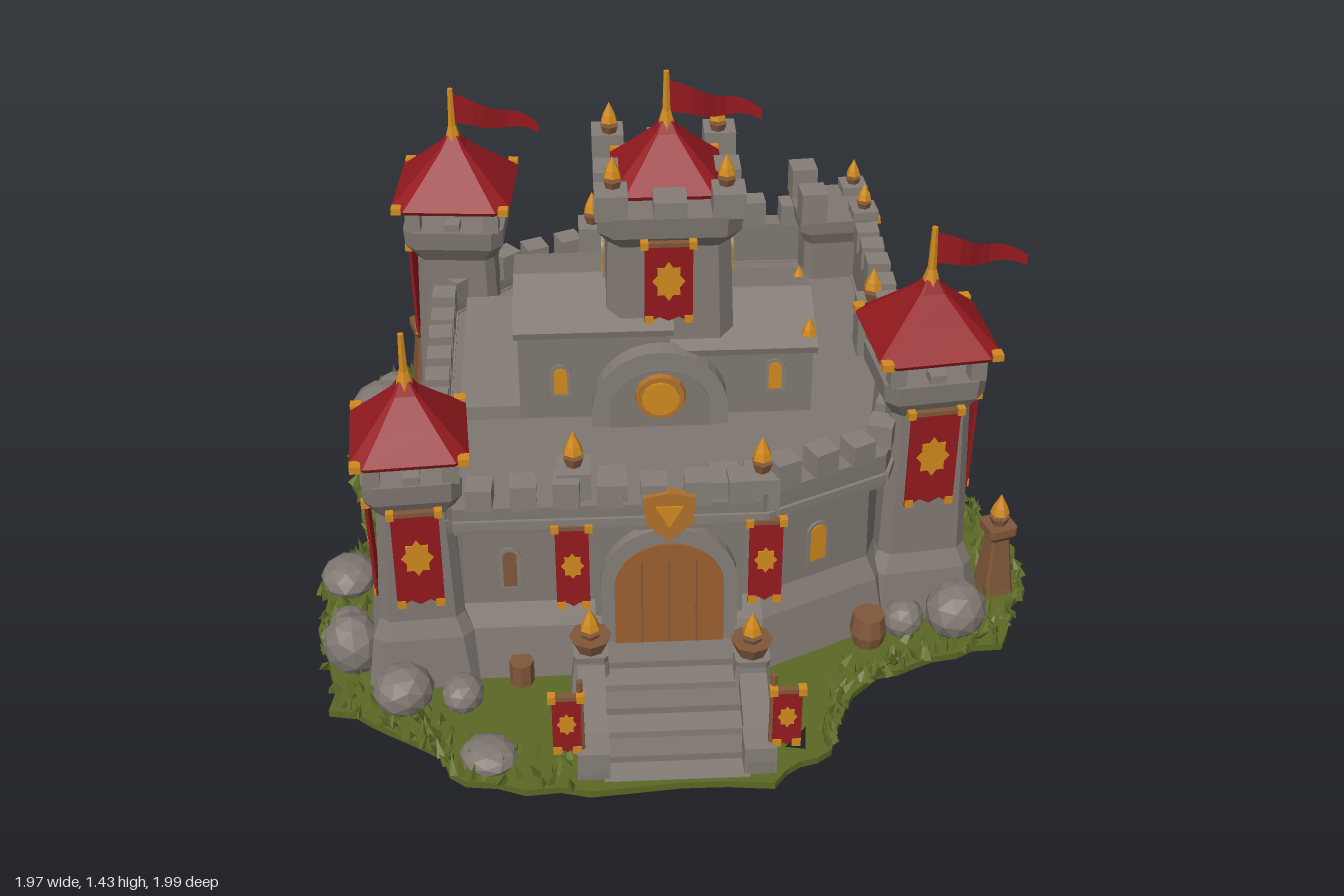
import * as THREE from 'three';
import { mergeGeometries } from 'three/addons/utils/BufferGeometryUtils.js';

const mat = (name, color, extra = {}) => new THREE.MeshStandardMaterial({ name, color, flatShading: true, ...extra });

export function createModel() {
  const M = {
    stone: mat('stone', 0x7f7771), trim: mat('trim stone', 0x857d76), base: mat('base stone', 0x8a8078),
    red: mat('red', 0x93191e, { side: THREE.DoubleSide }), gold: mat('gold', 0xd08a1e), bronze: mat('bronze', 0xb0702a),
    wood: mat('wood', 0x80573a), door: mat('door wood', 0x9a6030),
    grass: mat('grass', 0x5a6824), blade: mat('grass blade', 0x627029),
  };
  const root = new THREE.Group();
  root.name = 'castle';
  let seed = 7;
  const rnd = () => (seed = (seed * 16807) % 2147483647) / 2147483647;

  const add = (p, name, geo, m, x = 0, y = 0, z = 0, ry = 0) => {
    const o = new THREE.Mesh(geo, m);
    o.name = name; o.position.set(x, y, z); o.rotation.y = ry;
    p.add(o);
    return o;
  };
  const group = (p, name, x = 0, y = 0, z = 0, ry = 0) => {
    const g = new THREE.Group();
    g.name = name; g.position.set(x, y, z); g.rotation.y = ry;
    p.add(g);
    return g;
  };
  // y is the bottom of the box
  const box = (p, name, m, w, h, d, x, y, z, ry = 0) => add(p, name, new THREE.BoxGeometry(w, h, d), m, x, y + h / 2, z, ry);
  const cyl = (p, name, m, r1, r0, h, x, y, z, n = 8) => add(p, name, new THREE.CylinderGeometry(r1, r0, h, n), m, x, y + h / 2, z);

  // Skin stacked rings: [[y, [[x, z], ...]], ...] with both ends capped
  const loft = (levels) => {
    const v = [], n = levels[0][1].length;
    const pt = (l, i) => [l[1][i % n][0], l[0], l[1][i % n][1]];
    const mid = (l) => [l[1].reduce((s, q) => s + q[0], 0) / n, l[0], l[1].reduce((s, q) => s + q[1], 0) / n];
    const lo = levels[0], hi = levels[levels.length - 1];
    for (let i = 0; i < n; i++) {
      for (let k = 0; k + 1 < levels.length; k++) {
        const a = pt(levels[k], i), b = pt(levels[k], i + 1), c = pt(levels[k + 1], i), d = pt(levels[k + 1], i + 1);
        v.push(...a, ...c, ...b, ...b, ...c, ...d);
      }
      v.push(...mid(lo), ...pt(lo, i), ...pt(lo, i + 1), ...mid(hi), ...pt(hi, i + 1), ...pt(hi, i));
    }
    const g = new THREE.BufferGeometry();
    g.setAttribute('position', new THREE.Float32BufferAttribute(v, 3));
    g.computeVertexNormals();
    return g;
  };
  // Chamfered rectangle ring
  const sq = (h, d = h, c = h * 0.22) => [[h, c - d], [h, d - c], [h - c, d], [c - h, d], [-h, d - c], [-h, c - d], [c - h, -d], [h - c, -d]];
  const tower = (list) => loft(list.map(([y, h, d]) => [y, sq(h, d)]));

  const extrude = (pts, depth) => new THREE.ExtrudeGeometry(new THREE.Shape(pts.map((q) => new THREE.Vector2(...q))), { depth, bevelEnabled: false });
  const arch = (w, h, depth) => {
    const s = new THREE.Shape(), r = w / 2;
    s.moveTo(-r, 0); s.lineTo(r, 0); s.lineTo(r, h - r);
    s.absarc(0, h - r, r, 0, Math.PI, false); s.lineTo(-r, 0);
    return new THREE.ExtrudeGeometry(s, { depth, bevelEnabled: false, curveSegments: 8 });
  };
  const flame = (p, x, y, z, s = 1) => {
    const g = group(p, 'flame lamp', x, y, z);
    cyl(g, 'bowl', M.wood, 0.026 * s, 0.018 * s, 0.025 * s, 0, 0, 0, 6);
    add(g, 'flame', new THREE.LatheGeometry([[0, 0], [0.024, 0.015], [0.018, 0.035], [0, 0.072]].map((q) => new THREE.Vector2(q[0] * s, q[1] * s)), 6), M.gold, 0, 0.02 * s, 0);
  };
  // Hanging banner with forked hem; origin is the top middle
  const banner = (p, x, y, z, ry, w, h, tilt = 0) => {
    const g = group(p, 'banner', x, y, z, ry), r = w / 2;
    g.rotation.order = 'YXZ'; g.rotation.x = tilt;
    add(g, 'cloth', extrude([[-r, 0], [-r, -h], [-r * 0.4, -h * 0.92], [0, -h * 0.97], [r * 0.4, -h * 0.92], [r, -h], [r, 0]], 0.008), M.red);
    const crest = [];
    for (let i = 0; i < 16; i++) {
      const a = i * Math.PI / 8, q = i % 2 ? 0.25 : 0.34;
      crest.push([Math.cos(a) * w * q, -h * 0.46 + Math.sin(a) * w * q * 1.4]);
    }
    add(g, 'emblem', extrude(crest, 0.005), M.gold, 0, 0, 0.006);
    box(g, 'rod', M.wood, w * 1.1, 0.012, 0.016, 0, -0.006, 0.004);
    for (const s of [-1, 1]) {
      box(g, 'rod cap', M.gold, 0.02, 0.022, 0.022, s * r, -0.012, 0.004);
      add(g, 'hem tip', extrude([[-0.011, 0], [0.011, 0], [0.011, 0.024], [-0.011, 0.024]], 0.005), M.gold, s * (r - 0.011), -h, 0.005);
    }
  };
  const windowAt = (p, x, y, z, ry, m = M.gold, w = 0.036, h = 0.1) => {
    const g = group(p, 'window', x, y, z, ry);
    add(g, 'frame', arch(w + 0.02, h + 0.02, 0.006), M.trim, 0, -0.01, 0);
    add(g, 'pane', arch(w, h, 0.004), m, 0, 0, 0.005);
  };
  const flag = (p, y) => {
    const geo = new THREE.PlaneGeometry(0.24, 0.09, 8, 1), a = geo.attributes.position;
    for (let i = 0; i < a.count; i++) {
      const t = a.getX(i) / 0.24 + 0.5;
      a.setXYZ(i, t * 0.24, a.getY(i) * (1 - t * 0.65) - t * 0.055 + Math.sin(t * 9) * 0.008, Math.sin(t * 7) * 0.018);
    }
    add(p, 'flag', geo, M.red, 0.005, y - 0.05, 0);
  };
  const roof = (p, y, half, rise, poleTop) => {
    add(p, 'roof', tower([[y - 0.012, half * 0.96], [y, half], [y + rise * 0.4, half * 0.6], [y + rise * 0.8, half * 0.22], [y + rise, 0.015]]), M.red);
    for (const a of [-1, 1]) for (const b of [-1, 1]) box(p, 'eave cap', M.gold, 0.028, 0.02, 0.028, a * half * 0.9, y - 0.01, b * half * 0.9);
    const t = y + rise - 0.02;
    cyl(p, 'finial base', M.gold, 0.013, 0.026, 0.045, 0, t, 0, 6);
    cyl(p, 'pole', M.gold, 0.008, 0.013, poleTop - t, 0, t, 0, 6);
  };

  // Ground slab with stone underside and ragged grass edge
  const rim = [[0.8, -0.3], [0.88, -0.08], [0.96, 0.1], [0.95, 0.28], [0.85, 0.5], [0.6, 0.56], [0.43, 0.66], [0.35, 0.86], [0.2, 0.97], [-0.25, 0.99], [-0.55, 0.93], [-0.7, 0.78], [-0.9, 0.66], [-0.95, 0.4], [-0.97, 0.18], [-0.86, 0], [-0.92, -0.3], [-0.93, -0.5], [-0.91, -0.8], [-0.78, -0.93], [-0.6, -0.98], [-0.4, -0.95], [-0.36, -0.86], [-0.22, -0.76], [0, -0.82], [0.25, -0.78], [0.5, -0.92], [0.72, -0.88], [0.83, -0.74]];
  const ragged = rim.flatMap(([x0, z0], i) => {
    const [x1, z1] = rim[(i + 1) % rim.length];
    return [0, 0.25, 0.5, 0.75].map((t) => {
      const s = 0.985 + rnd() * 0.035;
      return [(x0 + (x1 - x0) * t) * s, (z0 + (z1 - z0) * t) * s];
    });
  });
  const outline = (s) => {
    const sh = new THREE.Shape(ragged.map(([x, z]) => new THREE.Vector2(x, s * z)));
    sh.holes.push(new THREE.Path([[0.24, 0.86], [0.3, 0.79], [0.29, 0.87]].map(([x, z]) => new THREE.Vector2(x, s * z))));
    return sh;
  };
  add(root, 'ground', new THREE.ExtrudeGeometry(outline(-1), { depth: 0.02, bevelEnabled: false }).rotateX(-Math.PI / 2), M.grass, 0, 0.003, 0);
  add(root, 'underside', new THREE.ShapeGeometry(outline(1)).rotateX(Math.PI / 2), M.base);
  const tufts = [];
  rim.forEach(([x0, z0], i) => {
    const [x1, z1] = rim[(i + 1) % rim.length];
    for (let k = 0; k < 34; k++) {
      const t = rnd(), s = 0.86 + 0.15 * Math.sqrt(rnd()), x = (x0 + (x1 - x0) * t) * s, z = (z0 + (z1 - z0) * t) * s;
      if (z > 0.5 && x > -0.29 && x < 0.34) continue;
      const h = 0.03 + rnd() * 0.03;
      tufts.push(new THREE.ConeGeometry(0.012, h, 3).rotateZ((rnd() - 0.5) * 1.5).rotateY(rnd() * 6).translate(x, 0.02 + h / 2, z));
    }
  });
  add(root, 'grass tufts', mergeGeometries(tufts), M.blade);

  // Boulders: x, z, radius, height
  for (const [x, z, r, h] of [[-0.86, -0.62, 0.1, 0.15], [-0.8, -0.31, 0.11, 0.12], [-0.9, 0.17, 0.085, 0.1], [-0.86, 0.5, 0.08, 0.18], [-0.72, 0.66, 0.08, 0.14], [-0.5, 0.87, 0.075, 0.07], [-0.57, 0.66, 0.06, 0.1], [-0.83, -0.75, 0.07, 0.1], [0.72, -0.08, 0.07, 0.13], [0.74, 0.43, 0.09, 0.16], [0.6, 0.43, 0.06, 0.11], [-0.6, -0.9, 0.1, 0.1], [-0.88, 0.38, 0.06, 0.1], [-0.05, -0.81, 0.05, 0.06]]) {
    const o = add(root, 'boulder', new THREE.IcosahedronGeometry(1, 1), M.stone, x, h * 0.5 + 0.008, z, rnd() * 6);
    o.scale.set(r, h * 0.5, r * 0.92);
  }

  // Curtain wall body with battered foot
  const plan = [[0.6, 0.1], [0.5, 0.37], [0.2, 0.51], [-0.56, 0.51], [-0.62, 0.4], [-0.62, -0.45], [-0.42, -0.63], [-0.22, -0.71], [0.45, -0.71], [0.59, -0.6]];
  const grow = (s) => plan.map(([x, z]) => [x * s, (z + 0.1) * s - 0.1]);
  add(root, 'curtain wall', loft([[0.01, grow(1.1)], [0.17, grow(1.05)], [0.23, grow(1)], [0.52, grow(0.99)]]), M.stone);
  plan.forEach((a, i) => {
    const b = plan[(i + 1) % plan.length], dx = b[0] - a[0], dz = b[1] - a[1], L = Math.hypot(dx, dz);
    const top = i < 2 ? 0.58 : i >= 7 ? 0.65 : 0.56;
    const g = group(root, 'battlement', (a[0] + b[0]) / 2, 0, (a[1] + b[1]) / 2, -Math.atan2(dz, dx));
    box(g, 'parapet', M.stone, L + 0.03, top - 0.48, 0.055, 0, 0.48, -0.01);
    box(g, 'ledge', M.trim, L + 0.03, 0.025, 0.07, 0, 0.5, -0.012);
    const n = Math.max(1, Math.round(L / 0.105));
    for (let k = 0; k < n; k++) box(g, 'merlon', M.trim, 0.066, 0.06 + rnd() * 0.02, 0.065, ((k + 0.5) / n - 0.5) * L, top - 0.005, -0.01, (rnd() - 0.5) * 0.14);
    if (L > 0.5 && i !== 2) add(g, 'buttress', loft([[0.006, sq(0.05, 0.085)], [0.22, sq(0.04, 0.035)], [0.52, sq(0.035, 0.02)]]), M.stone, 0.13 * L, 0, 0.005);
  });
  for (const z of [-0.02, 0.13, 0.27]) windowAt(root, -0.622, 0.34, z, -Math.PI / 2);
  windowAt(root, 0.6, 0.29, -0.07, Math.PI / 2, M.wood, 0.03, 0.13);
  windowAt(root, 0.594, 0.37, -0.54, Math.PI / 2, M.wood, 0.03, 0.14);
  windowAt(root, 0.355, 0.29, 0.443, 0.44, M.gold, 0.045, 0.11);
  windowAt(root, -0.44, 0.29, 0.512, 0, M.wood, 0.035, 0.11);
  for (const [x, y, z] of [[-0.2, 0.68, -0.68], [0.15, 0.68, -0.68], [0.57, 0.68, -0.2], [-0.27, 0.64, 0.48], [0.2, 0.62, 0.5]]) {
    box(root, 'lamp pier', M.trim, 0.085, y - 0.48, 0.09, x, 0.48, z);
    flame(root, x, y, z, 1.1);
  }

  // Gatehouse, door and crest
  const gate = group(root, 'gatehouse', -0.035, 0, 0);
  box(gate, 'gate block', M.stone, 0.38, 0.53, 0.1, 0, 0.01, 0.48);
  add(gate, 'gate arch', arch(0.35, 0.39, 0.04), M.trim, 0, 0.1, 0.52);
  add(gate, 'door', arch(0.28, 0.335, 0.008), M.door, 0, 0.11, 0.557);
  for (const k of [-1, 0, 1]) box(gate, 'door seam', M.wood, 0.005, 0.27, 0.003, k * 0.07, 0.12, 0.565);
  for (const k of [-1, 1]) box(gate, 'gate merlon', M.trim, 0.075, 0.07, 0.09, k * 0.14, 0.54, 0.49);
  add(gate, 'shield', extrude([[-0.065, 0.06], [0, 0.075], [0.065, 0.06], [0.06, -0.02], [0, -0.075], [-0.06, -0.02]], 0.025), M.bronze, 0, 0.53, 0.54);
  add(gate, 'shield face', extrude([[-0.035, 0.03], [0.035, 0.03], [0, -0.035]], 0.006), M.gold, 0, 0.535, 0.563);
  for (const s of [-1, 1]) banner(gate, s * 0.245, 0.5, 0.55, 0, 0.085, 0.26);

  // Stairs with side walls, braziers and banner posts
  const stairs = group(root, 'stairs', -0.035, 0, 0);
  for (let k = 0; k < 6; k++) box(stairs, 'step', k % 2 ? M.stone : M.trim, 0.36, 0.02 * (k + 1), 0.42 - k * 0.064, 0, 0.005, 0.96 - k * 0.064 - (0.42 - k * 0.064) / 2);
  for (const s of [-1, 1]) {
    const z = 0.645 + s * 0.018;
    add(stairs, 'side wall', extrude([[-0.95, 0.006], [-0.52, 0.006], [-0.52, 0.17], [-0.62, 0.16], [-0.95, 0.06]], 0.07), M.stone, s * 0.205 - 0.035, 0, 0, Math.PI / 2);
    add(stairs, 'pedestal', loft([[0.006, sq(0.055)], [0.15, sq(0.042)], [0.17, sq(0.045)]]), M.trim, s * 0.205, 0, z);
    cyl(stairs, 'brazier', M.wood, 0.054, 0.038, 0.04, s * 0.205, 0.17, z);
    flame(stairs, s * 0.205, 0.195, z, 1.1);
    box(stairs, 'end post', M.trim, 0.08, 0.1, 0.08, s * 0.205, 0.006, 0.91);
    cyl(stairs, 'banner post', M.wood, 0.009, 0.013, 0.314, s * 0.235, 0.006, 0.92, 6);
    banner(stairs, s * 0.268, 0.28, 0.928, 0, 0.07, 0.18);
  }

  // Hall with low gabled stone roof
  box(root, 'terrace', M.trim, 0.94, 0.05, 0.57, -0.1, 0.51, -0.185);
  for (const [name, x, w, eave, peak] of [['left hall', -0.41, 0.4, 0.79, 0.85], ['right hall', -0.02, 0.39, 0.725, 0.79]]) {
    add(root, name, extrude([[-0.1, 0.52], [0.27, 0.52], [0.27, eave], [0.085, peak - 0.015], [-0.1, eave]], w), M.stone, x, 0, 0, Math.PI / 2);
    for (const s of [-1, 1]) {
      const slab = add(root, 'hall roof', new THREE.BoxGeometry(w + 0.02, 0.022, Math.hypot(0.205, peak - eave)), M.trim, x + w / 2, (eave + peak) / 2, -0.085 + s * 0.1025);
      slab.rotation.x = s * Math.atan2(peak - eave, 0.205);
    }
  }
  for (const x of [-0.3, 0.27]) windowAt(root, x, 0.6, 0.1, 0, M.gold, 0.035, 0.08);
  flame(root, 0.36, 0.72, -0.19, 0.9); flame(root, 0.36, 0.72, 0.08, 0.9);

  // Keep
  const keep = group(root, 'keep', -0.008, 0, -0.115);
  add(keep, 'keep tower', tower([[0.5, 0.19, 0.225], [0.72, 0.17, 0.2], [1.02, 0.16, 0.18], [1.06, 0.185, 0.21], [1.12, 0.19, 0.215]]), M.stone);
  for (const a of [-1, 0, 1]) for (const b of [-1, 0, 1]) if (a || b) box(keep, 'merlon', M.trim, 0.085, a && b ? 0.07 : 0.05, 0.085, a * 0.15, 1.115, b * 0.172);
  for (const a of [-1, 1]) for (const b of [-1, 1]) flame(keep, a * 0.145, 1.18, b * 0.155, 1);
  box(keep, 'roof drum', M.stone, 0.2, 0.05, 0.2, 0, 1.11, 0);
  roof(keep, 1.145, 0.145, 0.15, 1.43); flag(keep, 1.41);
  banner(keep, -0.005, 1.05, 0.215, 0, 0.125, 0.24, 0.03);
  for (const s of [-1, 1]) windowAt(keep, s * 0.166, 0.87, 0.02, s * Math.PI / 2, M.gold, 0.06, 0.095);
  add(keep, 'facade arch', arch(0.36, 0.25, 0.1), M.trim, -0.03, 0.5, 0.165);
  add(keep, 'facade panel', arch(0.27, 0.2, 0.008), M.stone, -0.03, 0.5, 0.262);
  add(keep, 'medallion rim', new THREE.CylinderGeometry(0.065, 0.07, 0.02, 14).rotateX(Math.PI / 2), M.bronze, -0.03, 0.62, 0.275);
  add(keep, 'medallion', new THREE.CylinderGeometry(0.05, 0.05, 0.008, 14).rotateX(Math.PI / 2), M.gold, -0.03, 0.62, 0.288);

  // Corner towers: x, z, turn, size, neck height, eave height, rise, pole top, flag, banner sides (quarter turns)
  for (const [x, z, ry, s, neck, eave, rise, pole, hasFlag, sides] of [
    [-0.675, 0.45, 0.07, 0.92, 0.58, 0.73, 0.16, 1.02, false, [0, 3]],
    [0.643, 0.228, 0.12, 1, 0.69, 0.845, 0.16, 1.15, true, [0, 1, 2]],
    [-0.59, -0.585, -0.08, 1.06, 0.71, 0.865, 0.165, 1.17, true, [2, 3]]]) {
    const t = group(root, 'corner tower', x, 0, z, ry);
    add(t, 'tower body', tower([[0.005, 0.165 * s], [0.17, 0.14 * s], [0.22, 0.118 * s], [neck - 0.03, 0.104 * s], [neck + 0.02, 0.132 * s], [neck + 0.075, 0.135 * s]]), M.stone);
    for (const a of [-1, 0, 1]) for (const b of [-1, 0, 1]) if (a || b) box(t, 'pillar', M.trim, 0.042, a && b ? eave - neck - 0.07 : 0.028, 0.042, a * 0.105 * s, neck + 0.07, b * 0.105 * s);
    roof(t, eave, 0.158 * s, rise, pole);
    if (hasFlag) flag(t, pole - 0.01);
    for (const q of sides) {
      const a = q * Math.PI / 2, r = 0.125 * s;
      banner(t, Math.sin(a) * r, neck - 0.01, Math.cos(a) * r, a, 0.13 * s, 0.3, 0.02);
    }
  }

  // Square rear turret with leaning banners
  const turret = group(root, 'rear turret', 0.515, 0, -0.685, 0.08);
  add(turret, 'turret body', tower([[0.005, 0.14], [0.18, 0.12], [0.24, 0.1], [0.64, 0.095], [0.68, 0.112], [0.72, 0.115]]), M.stone);
  for (const b of [-1, 1]) {
    box(turret, 'merlon', M.trim, 0.075, 0.1, 0.075, -0.077, 0.715, b * 0.077);
    box(turret, 'low merlon', M.trim, 0.075, 0.03, 0.075, 0.077, 0.715, b * 0.077);
    flame(turret, 0.077, 0.74, b * 0.077, 0.9);
  }
  banner(turret, 0.118, 0.69, -0.012, Math.PI / 2, 0.14, 0.36, -0.12);
  banner(turret, -0.02, 0.69, -0.118, Math.PI, 0.14, 0.36, -0.2);

  // Lamp posts, barrels and crate
  for (const [x, z] of [[0.875, 0.265], [-0.735, -0.85], [0.655, -0.81]]) {
    const p = group(root, 'lamp post', x, 0, z, 0.3);
    add(p, 'post', loft([[0.006, sq(0.048)], [0.04, sq(0.042)], [0.2, sq(0.026)], [0.22, sq(0.04)], [0.245, sq(0.04)]]), M.wood);
    flame(p, 0, 0.24, 0, 1.1);
  }
  add(root, 'barrel', new THREE.LatheGeometry([[0, 0], [0.038, 0], [0.05, 0.05], [0.042, 0.105], [0, 0.105]].map((q) => new THREE.Vector2(...q)), 10), M.wood, 0.5, 0.01, 0.47);
  cyl(root, 'small barrel', M.wood, 0.032, 0.032, 0.08, -0.42, 0.01, 0.58);
  box(root, 'crate', M.wood, 0.1, 0.09, 0.1, -0.76, 0.01, 0.1, 0.5);
  box(root, 'crate contents', M.grass, 0.075, 0.004, 0.075, -0.76, 0.1, 0.1, 0.5);
  return root;
}
